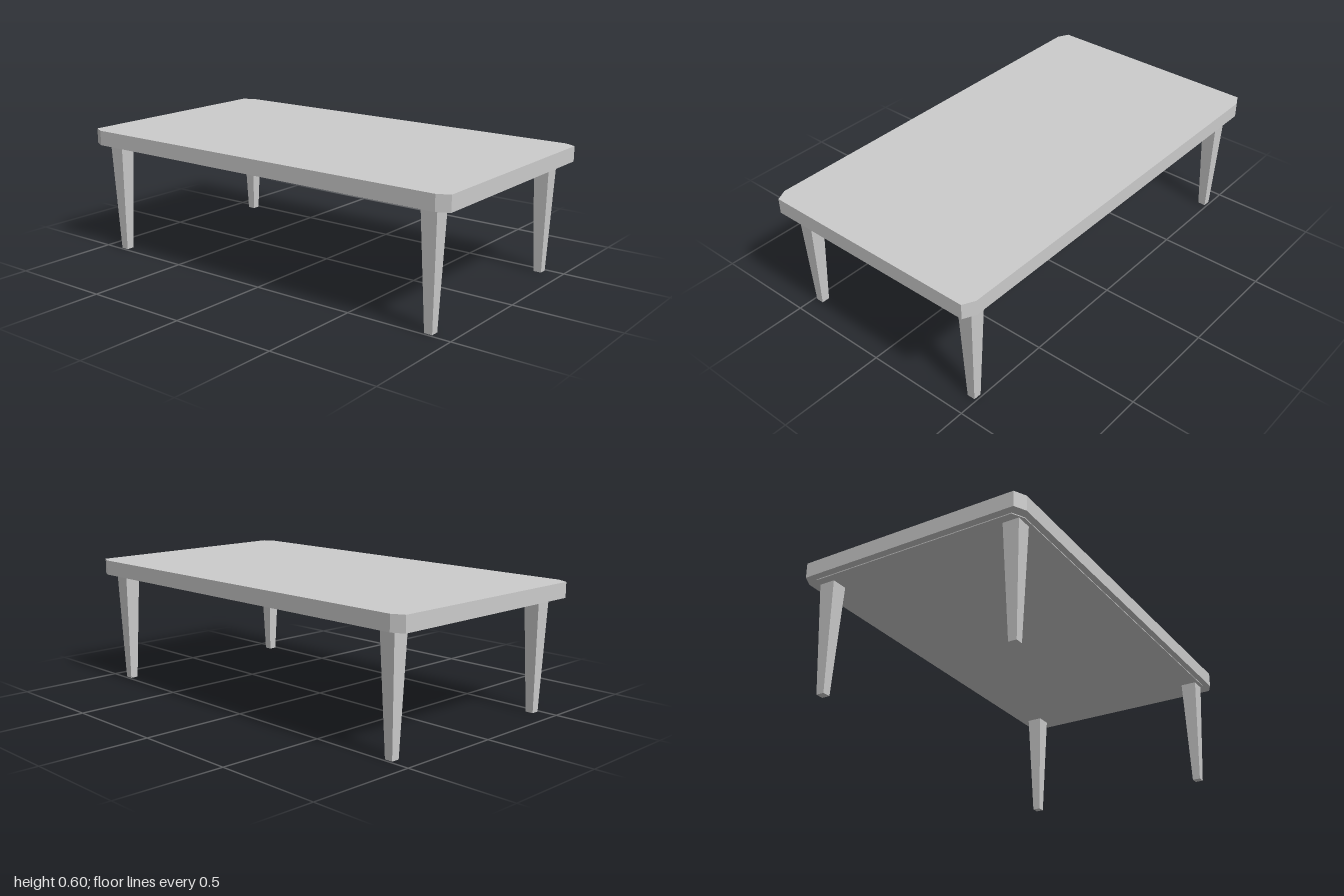
import * as THREE from 'three';

const material = new THREE.MeshStandardMaterial({ color: 0xcccccc, flatShading: true });

// Horizontal slab with cut corners, spanning y0..y1
function slab(name, halfX, halfZ, y0, y1) {
  const cutX = 0.028, cutZ = 0.055;
  const shape = new THREE.Shape([
    [halfX, -halfZ + cutZ], [halfX, halfZ - cutZ],
    [halfX - cutX, halfZ], [-halfX + cutX, halfZ],
    [-halfX, halfZ - cutZ], [-halfX, -halfZ + cutZ],
    [-halfX + cutX, -halfZ], [halfX - cutX, -halfZ],
  ].map(([x, z]) => new THREE.Vector2(x, z)));
  const geometry = new THREE.ExtrudeGeometry(shape, { depth: y1 - y0, bevelEnabled: false });
  geometry.rotateX(-Math.PI / 2).translate(0, y0, 0);
  const mesh = new THREE.Mesh(geometry, material);
  mesh.name = name;
  return mesh;
}

// Square leg tapering towards the floor
function leg(name, x, z) {
  const height = 0.527, topHalf = 0.038, footHalf = 0.019;
  const geometry = new THREE.CylinderGeometry(
    topHalf * Math.SQRT2, footHalf * Math.SQRT2, height, 4);
  geometry.rotateY(Math.PI / 4);
  const mesh = new THREE.Mesh(geometry, material);
  mesh.position.set(x, height / 2, z);
  mesh.name = name;
  return mesh;
}

export function createModel() {
  const table = new THREE.Group();
  table.name = 'table';

  // Top board with a slightly lower panel beneath it
  table.add(slab('tableTop', 0.555, 1, 0.529, 0.6));
  table.add(slab('undersidePanel', 0.525, 0.965, 0.525, 0.53));

  // Four legs near the corners
  for (const [side, sx] of [['Left', 1], ['Right', -1]]) {
    for (const [end, sz] of [['front', 1], ['back', -1]]) {
      table.add(leg(`${end}${side}Leg`, sx * 0.47, sz * 0.889));
    }
  }
  return table;
}
